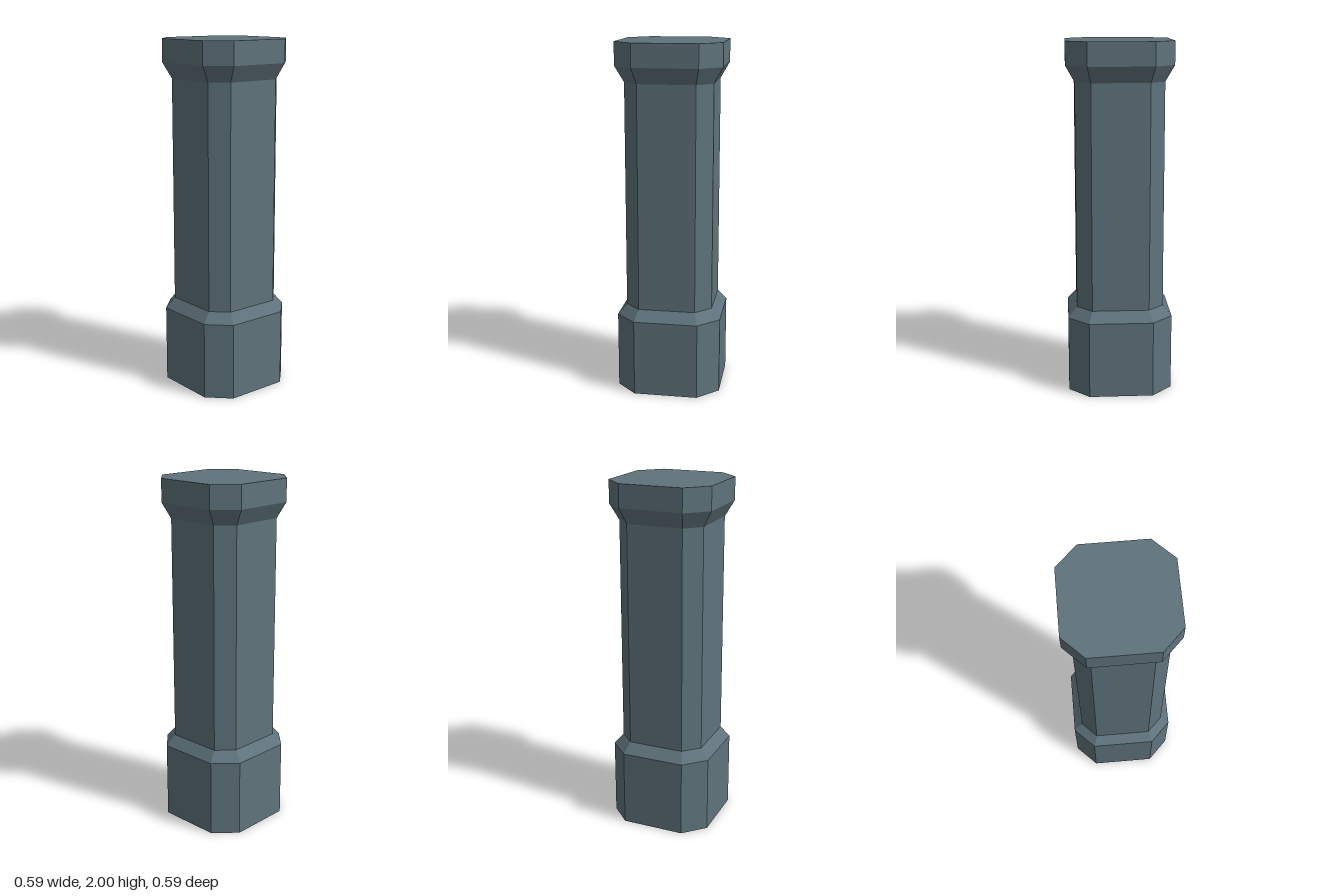
import * as THREE from 'three';

// Chamfered-square ring: half width w, flat sides reaching to +-c
function ring(w, c, y) {
  return [[w, -c], [w, c], [c, w], [-c, w], [-w, c], [-w, -c], [-c, -w], [c, -w]]
    .map(([x, z]) => [x, y, -z]);
}

// Joins successive rings with flat faces
function loft(rings) {
  const pos = [];
  for (let i = 0; i < rings.length - 1; i++) {
    for (let j = 0; j < 8; j++) {
      const k = (j + 1) % 8;
      const a = rings[i][j], b = rings[i][k], c = rings[i + 1][k], d = rings[i + 1][j];
      pos.push(...a, ...b, ...c, ...a, ...c, ...d);
    }
  }
  const geo = new THREE.BufferGeometry();
  geo.setAttribute('position', new THREE.Float32BufferAttribute(pos, 3));
  geo.computeVertexNormals();
  return geo;
}

export function createModel() {
  const group = new THREE.Group();
  group.name = 'pillar';
  const material = new THREE.MeshStandardMaterial({ color: 0x5f737c, flatShading: true });

  // Half width, side half length and height, from the foot to the top
  const profile = [
    [0.297, 0.181, 0], [0.297, 0.181, 0.44],
    [0.247, 0.161, 0.5], [0.247, 0.161, 1.78],
    [0.297, 0.181, 1.87], [0.297, 0.181, 2],
  ];
  const wall = 0.022;
  const outer = profile.map(([w, c, y]) => ring(w, c, y));
  const inner = profile.map(([w, c, y]) => ring(w - wall, c - wall * 0.41, y === 2 ? 2 - wall : y));

  // Outside: plinth, shaft and capital, closed by a flat top
  const shell = new THREE.Mesh(loft([...outer, ring(0, 0, 2)]), material);
  shell.name = 'columnShell';

  // Hollow inside, open at the foot, with a thin bottom rim
  const hollow = new THREE.Mesh(loft([ring(0, 0, 2 - wall), ...inner.reverse(), outer[0]]), material);
  hollow.name = 'hollowInside';

  group.add(shell, hollow);
  return group;
}
